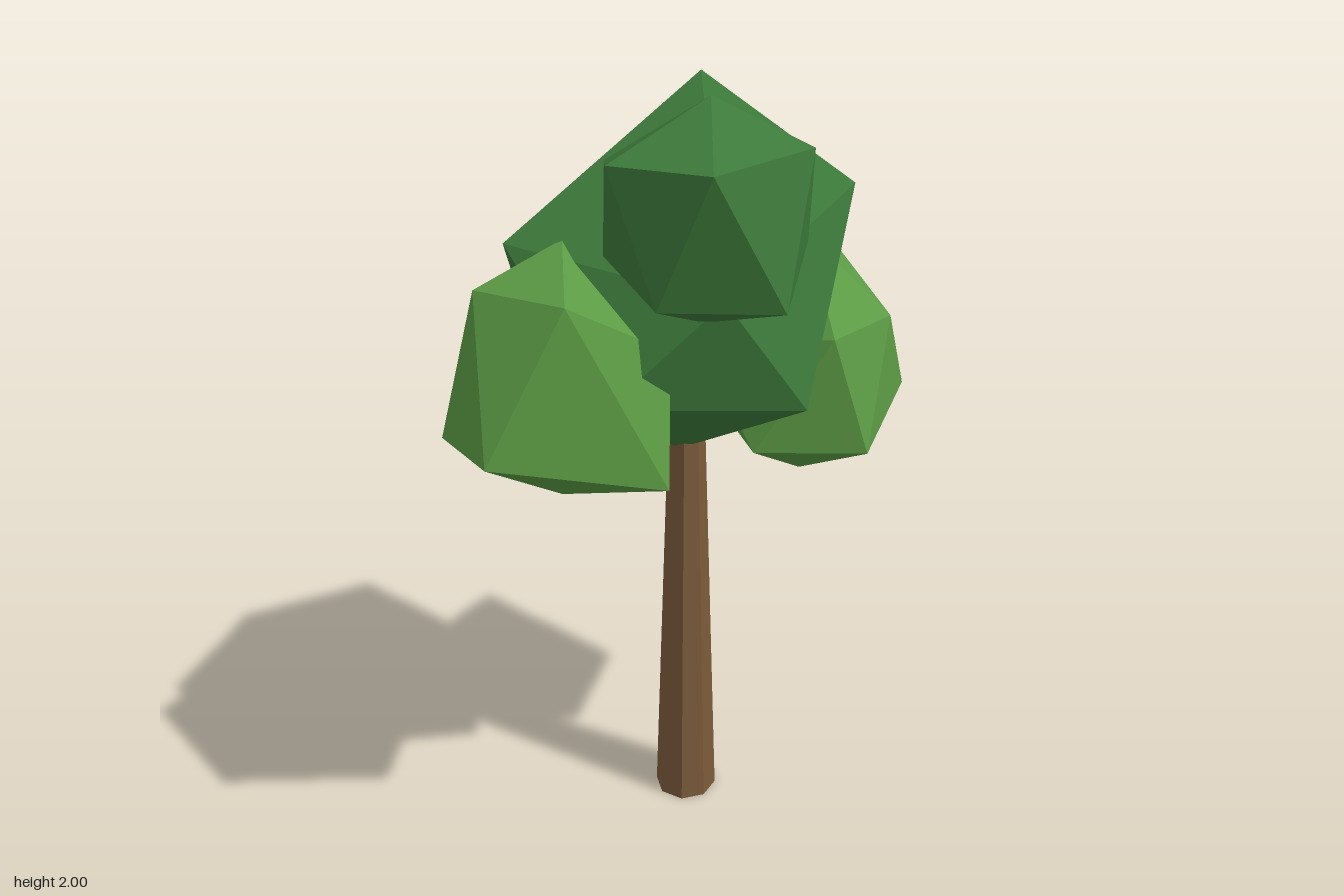
import * as THREE from 'three';
import { ConvexGeometry } from 'three/addons/geometries/ConvexGeometry.js';

const BARK = 0x7a5a3a, DARK_LEAF = 0x3d7a3b, LIGHT_LEAF = 0x5b9a44;

const material = color => new THREE.MeshStandardMaterial({ color, flatShading: true });

// Each leaf clump is an uneven icosahedron: the hull of twelve corners
const crown = [
  [0.05, 2, -0.06], [0.14, 1.8, -0.5], [0.42, 1.735, -0.1], [0.15, 1.56, 0.33],
  [-0.38, 1.64, 0.2], [-0.355, 1.61, -0.29], [-0.17, 1.24, -0.567], [0.35, 1.38, -0.28],
  [0.335, 1.26, 0.2], [-0.12, 1.3, 0.36], [-0.33, 1.26, 0.03], [0, 1.04, -0.05],
];
const topClump = [
  [0.107, 2, 0.265], [0.145, 1.895, 0.57], [0.335, 1.9, 0.294], [0.135, 1.88, 0.035],
  [-0.147, 1.83, 0.156], [-0.09, 1.89, 0.475], [0.02, 1.59, 0.515], [0.294, 1.58, 0.463],
  [0.32, 1.65, 0.12], [0.06, 1.6, 0.02], [-0.13, 1.645, 0.29], [0.1, 1.505, 0.31],
];
const leftClump = [
  [0.345, 1.484, -0.574], [0.569, 1.14, -0.343], [0.525, 1.367, -0.218], [0.483, 1.08, 0.02],
  [0.304, 0.92, -0.24], [0.21, 1.04, -0.493], [0.39, 1.38, 0.035], [0.3, 1.555, -0.31],
  [0.03, 1.3, -0.16], [0.07, 1.1, -0.25], [0.13, 1.3, -0.48], [0.2, 1.08, 0.05],
];
const rightClump = [
  [-0.37, 1.203, 0.512], [-0.57, 1.123, 0.15], [-0.43, 1.558, 0.304], [-0.196, 1.56, 0.414],
  [-0.24, 1.655, 0.2], [-0.405, 1.46, -0.088], [-0.272, 0.98, 0.138], [0.034, 1.13, 0.408],
  [0.02, 1.42, 0.28], [-0.03, 1.06, 0.13], [-0.08, 1.4, -0.07], [-0.3, 1.08, -0.03],
];

function leafClump(name, corners, color) {
  const hull = new ConvexGeometry(corners.map(c => new THREE.Vector3(...c)));
  const mesh = new THREE.Mesh(hull, material(color));
  mesh.name = name;
  return mesh;
}

export function createModel() {
  const tree = new THREE.Group();
  tree.name = 'tree';

  // Tapered eight-sided trunk, slightly narrower across x, running up into the crown
  const height = 1.3;
  const trunk = new THREE.Mesh(new THREE.CylinderGeometry(0.048, 0.096, height, 8), material(BARK));
  trunk.name = 'trunk';
  trunk.scale.x = 0.87;
  trunk.position.set(0.018, height / 2, -0.065);
  tree.add(trunk);

  // Foliage
  tree.add(
    leafClump('crown', crown, DARK_LEAF),
    leafClump('topLeafClump', topClump, DARK_LEAF),
    leafClump('leftLeafClump', leftClump, LIGHT_LEAF),
    leafClump('rightLeafClump', rightClump, LIGHT_LEAF),
  );
  return tree;
}
